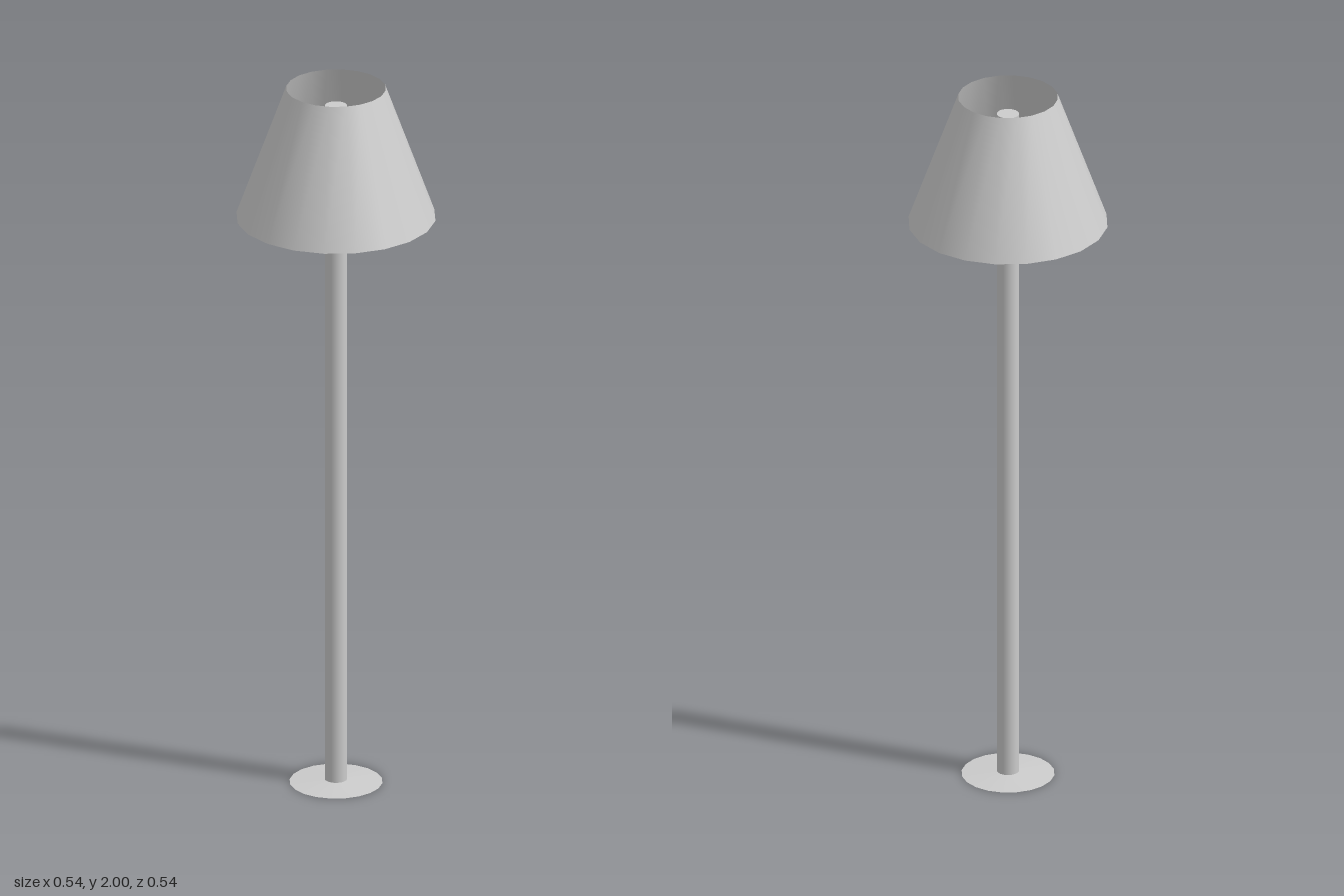
import * as THREE from 'three';

const SIDES = 20;

export function createModel() {
  const model = new THREE.Group();
  const grey = new THREE.MeshStandardMaterial({ color: 0xcccccc });
  const thin = new THREE.MeshStandardMaterial({ color: 0xcccccc, side: THREE.DoubleSide });

  // Round tapered part standing between two heights
  const addRound = (name, rTop, rBottom, y0, y1, material, open = false) => {
    const geometry = new THREE.CylinderGeometry(rTop, rBottom, y1 - y0, SIDES, 1, open);
    geometry.translate(0, (y0 + y1) / 2, 0);
    const mesh = new THREE.Mesh(geometry, material);
    mesh.name = name;
    model.add(mesh);
  };

  // Thin foot plate, rising very slightly to the pole
  addRound('base', 0.03, 0.125, 0, 0.007, grey);
  // Straight pole, ending just inside the shade
  addRound('pole', 0.03, 0.03, 0.002, 1.95, grey);
  // Open conical shade
  addRound('shade', 0.134, 0.268, 1.63, 2, thin, true);

  return model;
}
